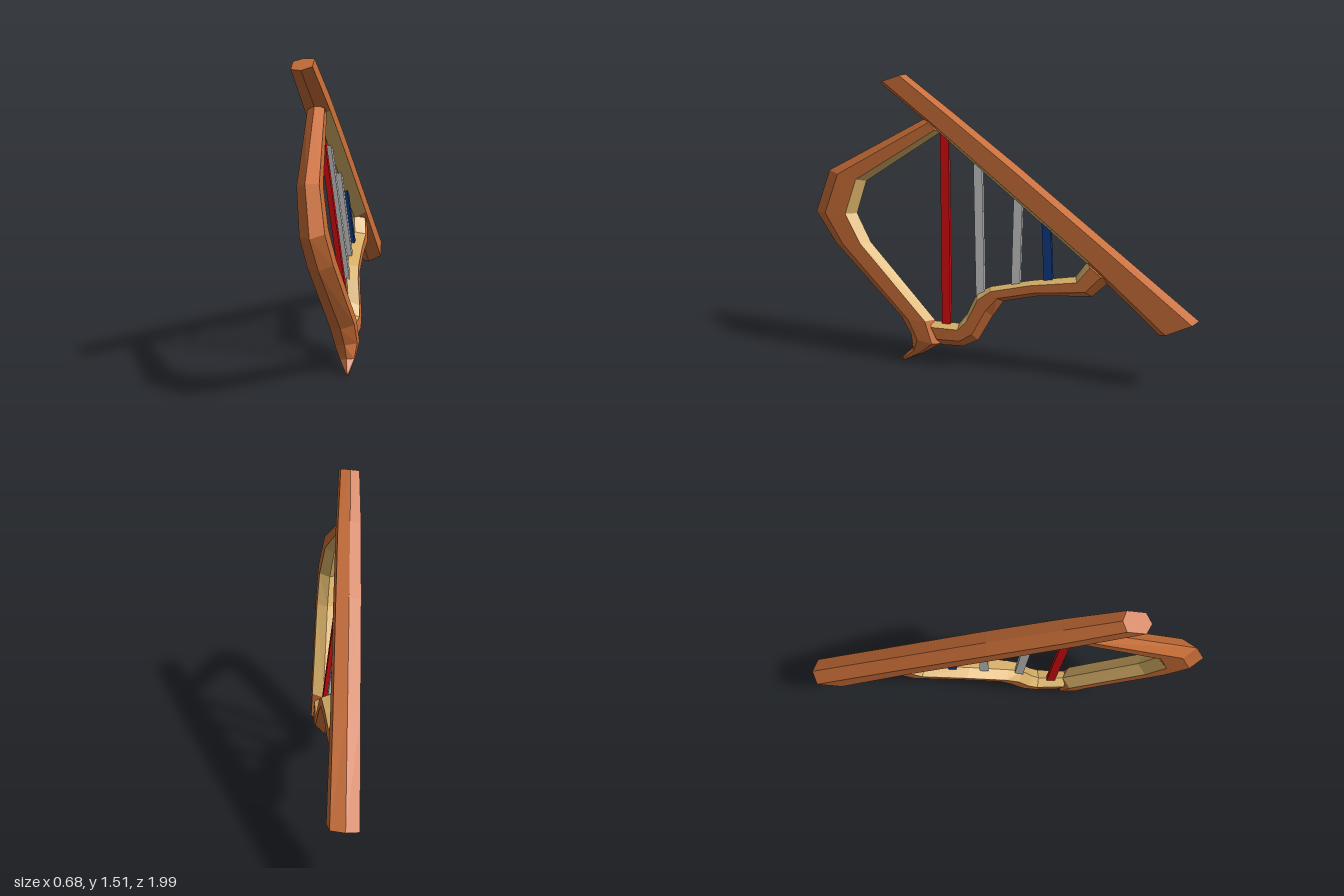
import * as THREE from 'three';

const mat = (name, color) => {
  const m = new THREE.MeshStandardMaterial({ color });
  m.name = name;
  return m;
};

// The harp lies in one leaning plane: x follows from z and y, d is the offset along its normal.
const normal = new THREE.Vector3(0.942, 0.128, -0.31);
const onPlane = (z, y, d = 0) =>
  new THREE.Vector3(0.079 - 0.136 * y + 0.329 * z, y, z).addScaledVector(normal, d);

// Six-sided bar through stations [outerZ, outerY, innerZ, innerY, halfThickness].
// The two inner facets of segments from <= i < to take the second material.
function bar(name, stations, f1, f2, materials, from = 0, to = 0) {
  const rings = stations.map(([oz, oy, iz, iy, h]) =>
    [[0, 0], [f1, h], [f2, h], [1, 0], [f2, -h], [f1, -h]].map(([t, d]) =>
      onPlane(oz + (iz - oz) * t, oy + (iy - oy) * t, d)));
  const main = [], inner = [];
  for (let i = 0; i < rings.length - 1; i++) {
    for (let k = 0; k < 6; k++) {
      const a = rings[i][k], b = rings[i][(k + 1) % 6];
      const c = rings[i + 1][(k + 1) % 6], d = rings[i + 1][k];
      const list = (k === 2 || k === 3) && i >= from && i < to ? inner : main;
      list.push([a, b, c], [a, c, d]);
    }
  }
  const first = rings[0], last = rings[rings.length - 1];
  for (let k = 1; k < 5; k++) {
    main.push([first[0], first[k + 1], first[k]], [last[0], last[k], last[k + 1]]);
  }
  // Turn all faces outward
  const tris = [...main, ...inner];
  const centre = first[0];
  let volume = 0;
  for (const t of tris) {
    const [a, b, c] = t.map((p) => p.clone().sub(centre));
    volume += a.dot(b.cross(c));
  }
  if (volume < 0) tris.forEach((t) => t.reverse());

  const geo = new THREE.BufferGeometry().setFromPoints(tris.flat());
  geo.addGroup(0, main.length * 3, 0);
  if (inner.length) geo.addGroup(main.length * 3, inner.length * 3, 1);
  geo.computeVertexNormals();
  const mesh = new THREE.Mesh(geo, materials);
  mesh.name = name;
  return mesh;
}

// Flat string between two points of the plane
function string(name, z0, y0, z1, y1, material) {
  const a = onPlane(z0, y0), b = onPlane(z1, y1);
  const up = b.clone().sub(a);
  const geo = new THREE.BoxGeometry(0.026, up.length(), 0.046);
  const mesh = new THREE.Mesh(geo, material);
  mesh.name = name;
  up.normalize();
  const side = normal.clone().addScaledVector(up, -normal.dot(up)).normalize();
  mesh.quaternion.setFromRotationMatrix(
    new THREE.Matrix4().makeBasis(side, up, side.clone().cross(up)));
  mesh.position.copy(a).add(b).multiplyScalar(0.5);
  return mesh;
}

export function createModel() {
  const harp = new THREE.Group();
  harp.name = 'harp';
  const wood = [mat('brownWood', 0xc66c36), mat('paleWood', 0xd8b068)];
  const red = mat('red', 0xd40c10);
  const silver = mat('silver', 0xc6c6c6);
  const blue = mat('blue', 0x0f3a84);

  // Straight neck beam
  harp.add(bar('neckBeam', [
    [0.56, 1.51, 0.69, 1.46, 0.05],
    [0.30, 1.325, 0.38, 1.23, 0.06],
    [-0.05, 1.07, 0.04, 0.965, 0.064],
    [-0.52, 0.715, -0.43, 0.60, 0.066],
    [-0.99, 0.36, -0.81, 0.27, 0.07],
  ], 0.14, 0.8, wood, 1, 3));

  // Curved front column ending in a pointed foot
  harp.add(bar('frontColumn', [
    [0.44, 1.29, 0.36, 1.22, 0.042],
    [0.94, 0.99, 0.735, 0.945, 0.05],
    [1.0, 0.765, 0.775, 0.77, 0.056],
    [0.88, 0.6, 0.69, 0.62, 0.058],
    [0.50, 0.235, 0.32, 0.235, 0.06],
    [0.44, 0.14, 0.28, 0.11, 0.055],
    [0.43, 0.07, 0.37, 0.05, 0.035],
    [0.478, 0.018, 0.465, 0.0, 0.006],
  ], 0.32, 0.81, wood, 0, 4));

  // Wavy sound box, pale on its upper side
  harp.add(bar('soundBox', [
    [0.27, 0.105, 0.34, 0.23, 0.045],
    [0.16, 0.11, 0.19, 0.23, 0.05],
    [0.085, 0.15, 0.155, 0.28, 0.052],
    [0.02, 0.285, 0.108, 0.40, 0.054],
    [-0.03, 0.37, 0.04, 0.44, 0.055],
    [-0.21, 0.415, -0.16, 0.49, 0.056],
    [-0.47, 0.435, -0.38, 0.53, 0.056],
    [-0.55, 0.52, -0.43, 0.61, 0.056],
  ], 0.3, 0.78, wood, 0, 7));

  // Strings, from the column to the back
  harp.add(
    string('redString', 0.253, 0.2, 0.335, 1.22, red),
    string('silverStringFront', 0.088, 0.38, 0.152, 1.07, silver),
    string('silverStringBack', -0.088, 0.45, -0.065, 0.91, silver),
    string('blueString', -0.25, 0.48, -0.215, 0.79, blue),
  );
  return harp;
}
